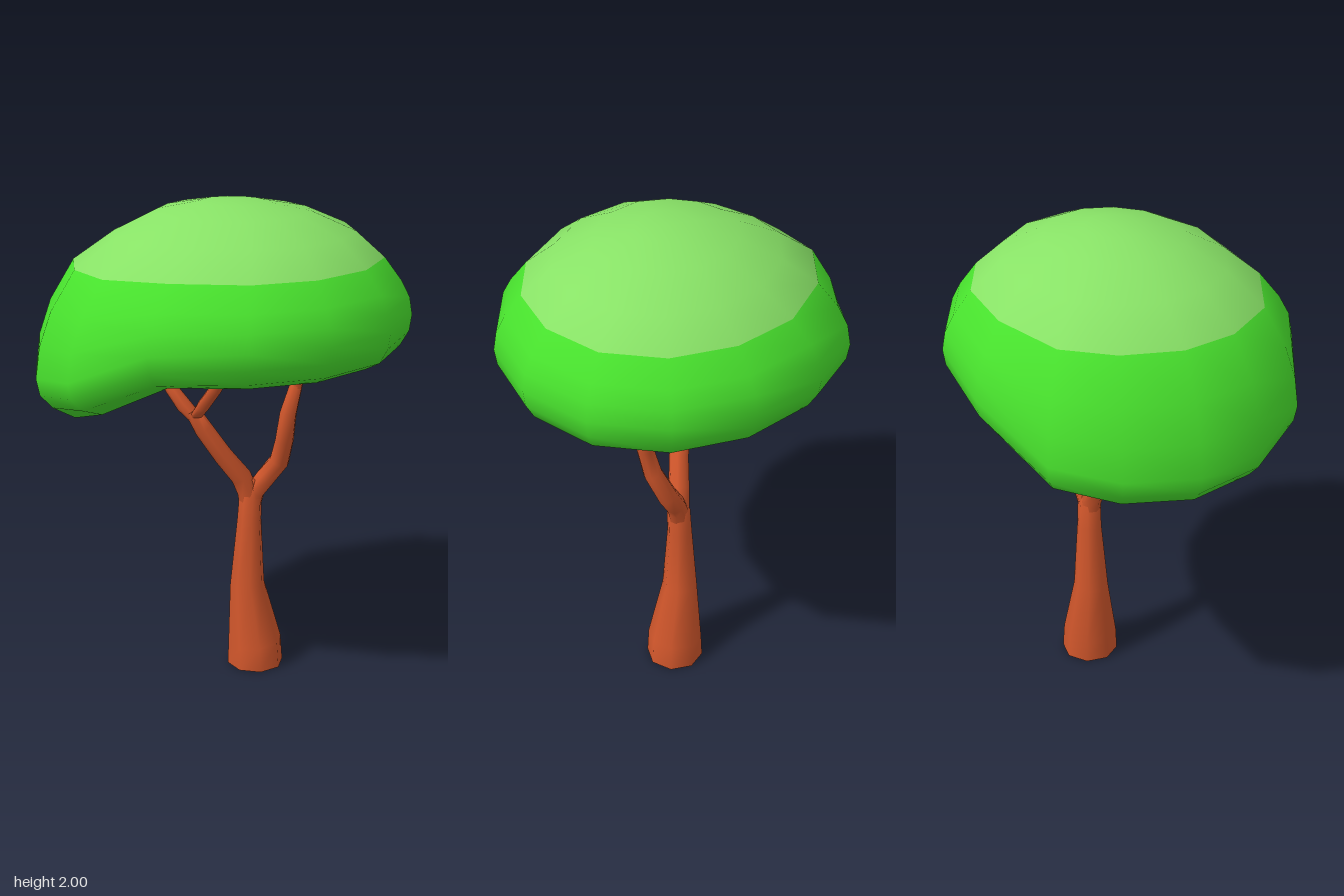
import * as THREE from 'three';

const bark = new THREE.MeshStandardMaterial({ color: 0xd0562b, side: THREE.DoubleSide });
bark.name = 'bark';
const leaf = new THREE.MeshStandardMaterial({ color: 0x48e12d });
leaf.name = 'leaf green';
const leafTop = new THREE.MeshStandardMaterial({ color: 0x88e266 });
leafTop.name = 'light leaf green';

function buildGeometry(positions, index) {
  const g = new THREE.BufferGeometry();
  g.setAttribute('position', new THREE.Float32BufferAttribute(positions, 3));
  g.setIndex(index);
  g.computeVertexNormals();
  return g;
}

// Tapered limb through points [x, y, z, radius], open at the start and closed at the tip
function limb(name, points, sides = 8) {
  const P = points.map(p => new THREE.Vector3(p[0], p[1], p[2]));
  const up = new THREE.Vector3(0, 1, 0);
  const pos = [], idx = [], n = P.length;
  for (let i = 0; i < n; i++) {
    const dir = P[Math.min(i + 1, n - 1)].clone().sub(P[Math.max(i - 1, 0)]).normalize();
    const q = new THREE.Quaternion().setFromUnitVectors(up, i === 0 ? up : dir);
    for (let j = 0; j < sides; j++) {
      const a = (j / sides) * Math.PI * 2, r = points[i][3];
      const v = new THREE.Vector3(Math.cos(a) * r, 0, Math.sin(a) * r).applyQuaternion(q).add(P[i]);
      pos.push(v.x, v.y, v.z);
    }
  }
  for (let i = 0; i < n - 1; i++) {
    for (let j = 0; j < sides; j++) {
      const a = i * sides + j, b = i * sides + (j + 1) % sides;
      idx.push(a, a + sides, b, b, a + sides, b + sides);
    }
  }
  const end = (n - 1) * sides;
  for (let j = 1; j < sides - 1; j++) idx.push(end, end + j + 1, end + j);
  const mesh = new THREE.Mesh(buildGeometry(pos, idx), bark);
  mesh.name = name;
  return mesh;
}

// Dome of foliage: scaled copies of an outline, drooping to one side
function canopy() {
  const outline = [
    [0.73, -0.08], [0.66, 0.23], [0.47, 0.48], [0.15, 0.66], [-0.2, 0.69], [-0.47, 0.56], [-0.65, 0.35],
    [-0.73, 0.07], [-0.71, -0.2], [-0.49, -0.49], [-0.18, -0.67], [0.15, -0.7], [0.45, -0.6], [0.66, -0.38],
  ];
  // [scale, height, share of droop], top to bottom
  const rings = [
    [0.17, 1.994, 0], [0.4, 1.96, 0], [0.63, 1.885, 0.06], [0.815, 1.785, 0.11],
    [0.925, 1.695, 0.36], [0.98, 1.63, 0.62], [1, 1.56, 0.82], [0.985, 1.495, 0.83], [0.93, 1.435, 0.82],
    [0.83, 1.402, 0.92], [0.7, 1.4, 1], [0.55, 1.402, 1], [0.4, 1.41, 1], [0.2, 1.42, 1],
  ];
  const lightRings = 4, N = outline.length;
  const pos = [], idx = [];
  const addPoint = (ox, oz, [s, h, share]) => {
    const k = Math.min(1, (1 - s) * 2.6);
    const x = ox * s + 0.05 * k, z = oz * s - 0.03 * k;
    // u runs toward the drooping side, v across it
    const u = Math.max(0, -0.9 * x + 0.43 * z - 0.04) / 0.33, v = 0.43 * x + 0.9 * z;
    pos.push(x, h - share * 0.3 * (1 - 0.6 * v * v) * (1 - Math.exp(-u * u)), z);
  };
  for (const r of rings) for (const [x, z] of outline) addPoint(x, z, r);
  addPoint(0, 0, [0, 2, 0]);
  addPoint(0, 0, [0, 1.42, 1]);
  const top = rings.length * N, bottom = top + 1;
  for (let j = 0; j < N; j++) idx.push(top, (j + 1) % N, j);
  let split = 0;
  for (let i = 0; i < rings.length - 1; i++) {
    if (i === lightRings - 1) split = idx.length;
    for (let j = 0; j < N; j++) {
      const a = i * N + j, b = i * N + (j + 1) % N;
      idx.push(a, b, a + N, b, b + N, a + N);
    }
  }
  const last = (rings.length - 1) * N;
  for (let j = 0; j < N; j++) idx.push(bottom, last + j, last + (j + 1) % N);
  const g = buildGeometry(pos, idx);
  g.addGroup(0, split, 0);
  g.addGroup(split, idx.length - split, 1);
  const mesh = new THREE.Mesh(g, [leafTop, leaf]);
  mesh.name = 'canopy';
  return mesh;
}

export function createModel() {
  const tree = new THREE.Group();
  tree.name = 'tree';
  tree.add(
    limb('trunk', [
      [0.092, 0, -0.147, 0.119], [0.09, 0.1, -0.145, 0.114], [0.057, 0.36, -0.135, 0.073],
      [0.062, 0.65, -0.14, 0.051], [0.068, 0.76, -0.14, 0.048], [0.076, 0.83, -0.14, 0.02],
    ]),
    // right-hand limb and its two forks
    limb('rightLimb', [
      [0.064, 0.66, -0.14, 0.035], [0.06, 0.77, -0.132, 0.044], [0.042, 0.84, -0.108, 0.043],
      [-0.005, 0.94, -0.045, 0.04], [-0.065, 1.06, 0.01, 0.038], [-0.1, 1.14, 0.04, 0.03],
    ]),
    limb('rightOuterFork', [
      [-0.075, 1.08, 0.015, 0.033], [-0.13, 1.16, 0.055, 0.031], [-0.185, 1.22, 0.06, 0.027], [-0.23, 1.29, 0.06, 0.025],
    ]),
    limb('rightInnerFork', [
      [-0.09, 1.11, 0.03, 0.026], [-0.02, 1.18, 0.075, 0.026], [0.07, 1.28, 0.11, 0.025], [0.18, 1.43, 0.17, 0.023],
    ]),
    // left-hand limb and its two twigs
    limb('leftLimb', [
      [0.066, 0.66, -0.14, 0.035], [0.08, 0.77, -0.15, 0.043], [0.115, 0.83, -0.178, 0.043], [0.17, 0.91, -0.2, 0.042],
      [0.215, 1.02, -0.165, 0.039], [0.24, 1.14, -0.15, 0.035], [0.262, 1.28, -0.185, 0.025],
    ]),
    limb('leftStraightTwig', [
      [0.258, 1.24, -0.175, 0.025], [0.272, 1.32, -0.185, 0.023], [0.295, 1.43, -0.165, 0.019],
    ]),
    limb('leftBentTwig', [
      [0.26, 1.28, -0.185, 0.02], [0.235, 1.31, -0.26, 0.016], [0.212, 1.335, -0.35, 0.015],
      [0.215, 1.36, -0.375, 0.015], [0.235, 1.43, -0.4, 0.014],
    ]),
    canopy(),
  );
  return tree;
}
